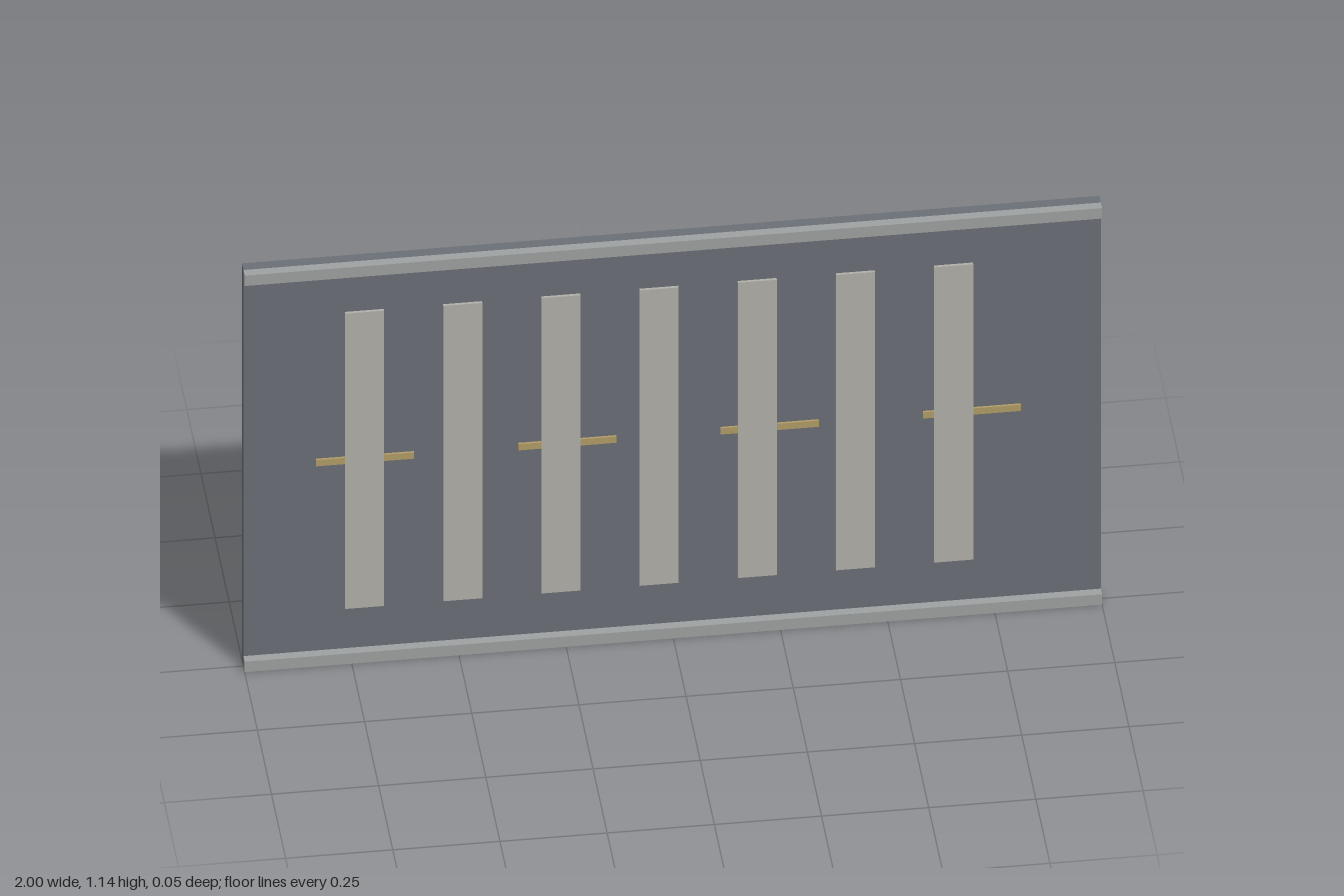
import * as THREE from 'three';

export function createModel() {
  const model = new THREE.Group();
  const paint = (color) => new THREE.MeshStandardMaterial({ color });
  const asphalt = paint(0x6b7077);
  const concrete = paint(0x9fa2a2);
  const white = paint(0xb2b0a9);
  const yellow = paint(0xb39d68);

  const H = 1.144;      // height of the panel
  const BACK = -0.024;  // rear face
  const FACE = 0.002;   // road surface

  // Box centred on x, y that spans z0 to z1
  const addBox = (name, material, w, h, x, y, z0, z1) => {
    const mesh = new THREE.Mesh(new THREE.BoxGeometry(w, h, z1 - z0), material);
    mesh.name = name;
    mesh.position.set(x, y, (z0 + z1) / 2);
    model.add(mesh);
  };

  // Road slab
  addBox('roadSlab', asphalt, 2, H, 0, H / 2, BACK, FACE);

  // Kerbs along both long edges
  const kerb = 0.03;
  addBox('lowerKerb', concrete, 2, kerb, 0, kerb / 2, FACE, 0.024);
  addBox('upperKerb', concrete, 2, kerb, 0, H - kerb / 2, FACE, 0.024);

  // Crossing stripes
  for (let i = 0; i < 7; i++) {
    addBox('crossingStripe', white, 0.091, 0.852, -0.718 + i * 0.229, 0.574, FACE, 0.009);
  }

  // Centre line dashes, slightly lower than the stripes
  for (let i = 0; i < 4; i++) {
    addBox('centreDash', yellow, 0.229, 0.018, -0.717 + i * 0.472, 0.574, FACE, 0.0075);
  }

  return model;
}
